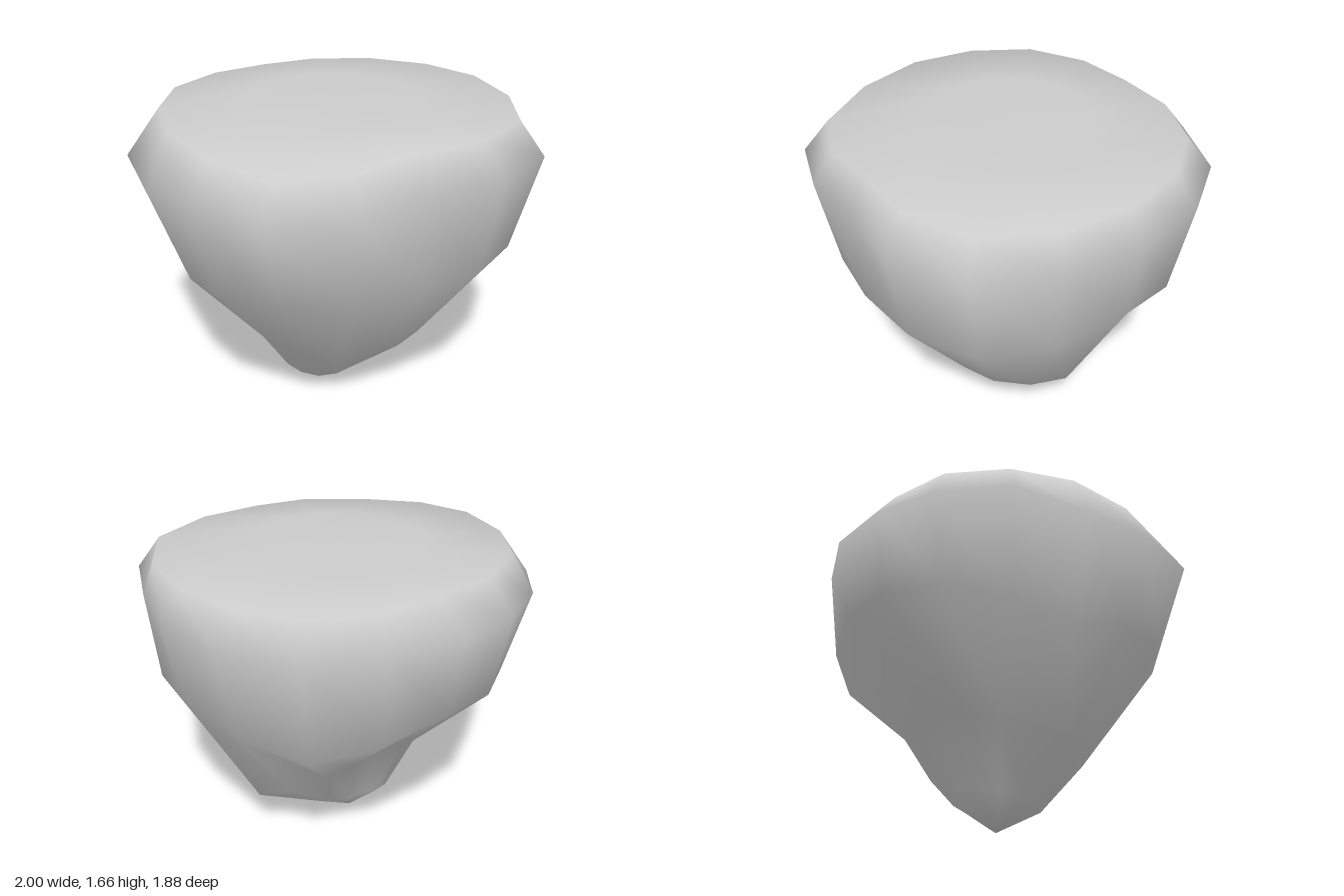
import * as THREE from 'three';

const SIDES = 16;

// Sample a closed list of evenly spaced values, blending between neighbours
function around(list, k) {
  const t = (k / SIDES) * list.length;
  const i = Math.floor(t) % list.length;
  return THREE.MathUtils.lerp(list[i], list[(i + 1) % list.length], t - Math.floor(t));
}

// Rings from top to bottom; values run from +x (left) through +z (front)
const RINGS = [
  { r: [0.45], y: [1.66] }, // flat top
  { // top rim
    r: [0.91, 0.95, 0.8, 0.93, 0.87, 0.86, 0.78, 0.88],
    y: [1.65, 1.63, 1.63, 1.58, 1.64, 1.65, 1.65, 1.64],
  },
  { // widest outline
    r: [1, 0.99, 1.08, 1.01, 0.89, 0.97, 1.076, 1.015, 1, 1.04, 0.98, 0.95, 0.95, 0.95, 1.01, 1.01],
    y: [1.49, 1.46, 1.47, 1.4, 1.36, 1.45, 1.5, 1.49],
  },
  { // shoulder
    r: [0.94, 0.95, 0.87, 0.9, 0.82, 0.86, 0.87, 0.9],
    y: [1.07, 0.95, 0.97, 0.95, 0.84, 1.0, 1.07, 0.92],
  },
  { // lower taper, hollowed at the back
    r: [0.54, 0.5, 0.42, 0.5, 0.45, 0.42, 0.36, 0.43],
    y: [0.31, 0.35, 0.36, 0.42, 0.4, 0.5, 0.63, 0.5],
  },
  { // foot of the rock
    r: [0.21, 0.22, 0.2, 0.26, 0.28, 0.27, 0.22, 0.21],
    y: [0.14, 0.14, 0.13, 0.13, 0.13, 0.18, 0.22, 0.18],
  },
];

function rockGeometry() {
  const pos = [];
  const index = [];
  for (const ring of RINGS) {
    for (let k = 0; k < SIDES; k++) {
      const a = (k / SIDES) * Math.PI * 2;
      const r = around(ring.r, k);
      pos.push(Math.cos(a) * r, around(ring.y, k), Math.sin(a) * r);
    }
  }
  const top = pos.length / 3;
  pos.push(0, 1.66, 0, -0.05, 0, -0.03); // top centre and bottom tip

  const last = (RINGS.length - 1) * SIDES;
  for (let k = 0; k < SIDES; k++) {
    const n = (k + 1) % SIDES;
    index.push(top, n, k);
    for (let s = 0; s < last; s += SIDES) {
      const u = s + k, v = s + n;
      index.push(u, v, u + SIDES, v, v + SIDES, u + SIDES);
    }
    index.push(last + k, last + n, top + 1);
  }

  const geometry = new THREE.BufferGeometry();
  geometry.setAttribute('position', new THREE.Float32BufferAttribute(pos, 3));
  geometry.setIndex(index);
  geometry.computeVertexNormals();
  return geometry;
}

export function createModel() {
  const group = new THREE.Group();
  group.name = 'floatingRock';
  const rock = new THREE.Mesh(rockGeometry(), new THREE.MeshStandardMaterial({ color: 0xcccccc }));
  rock.name = 'rockBody';
  group.add(rock);
  return group;
}
